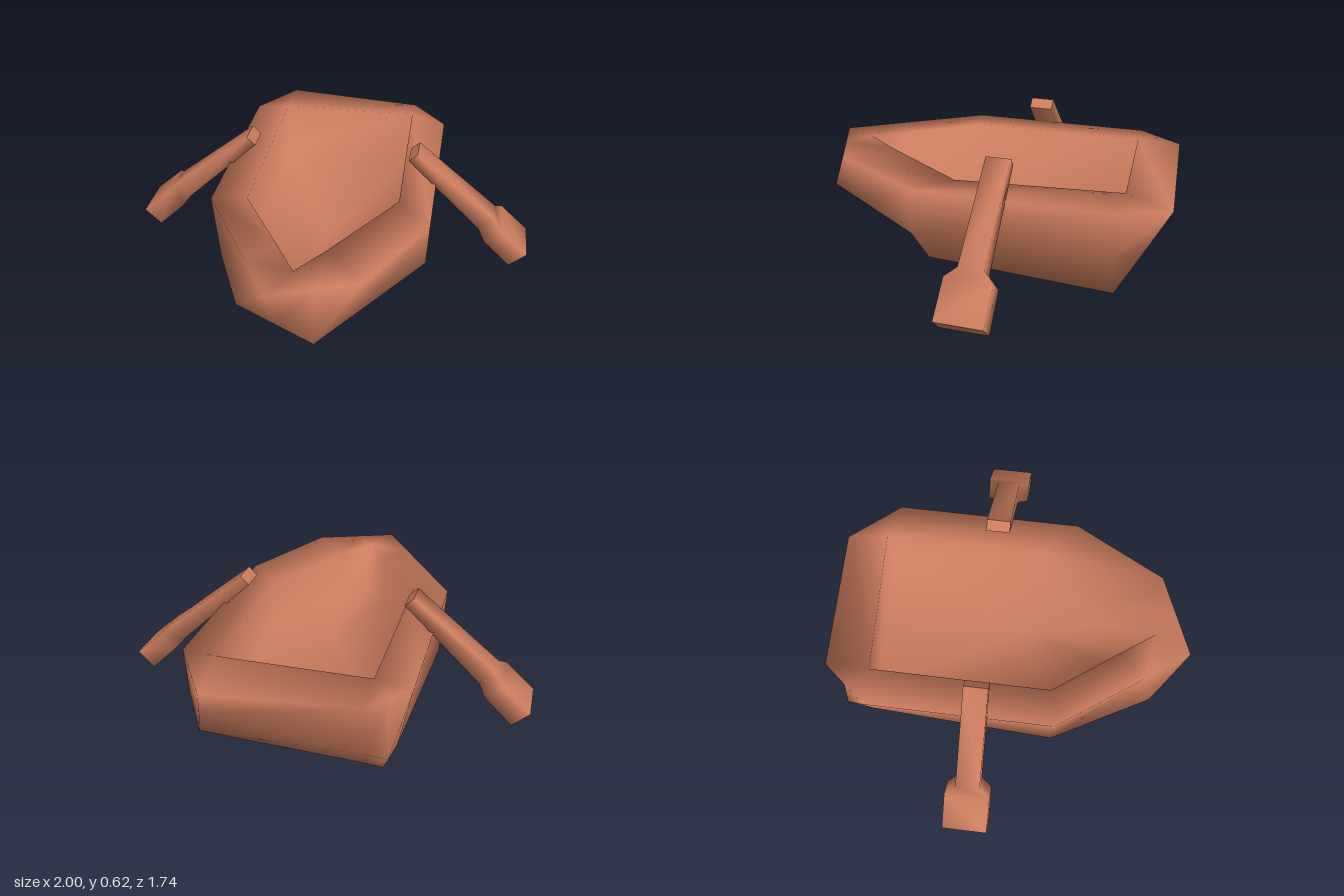
import * as THREE from 'three';
import { mergeVertices } from 'three/addons/utils/BufferGeometryUtils.js';

// Skin a stack of closed rings, with a centre point closing each end
function loft(rings, startCentre, endCentre) {
  const n = rings[0].length;
  const pts = [...rings.flat(), startCentre, endCentre];
  const start = pts.length - 2, end = pts.length - 1, last = (rings.length - 1) * n;
  const index = [];
  for (let r = 0; r < rings.length - 1; r++) {
    for (let i = 0; i < n; i++) {
      const j = (i + 1) % n, a = r * n + i, b = r * n + j, c = b + n, d = a + n;
      index.push(a, b, c, a, c, d);
    }
  }
  for (let i = 0; i < n; i++) {
    const j = (i + 1) % n;
    index.push(start, j, i, end, last + i, last + j);
  }
  const g = new THREE.BufferGeometry();
  g.setAttribute('position', new THREE.Float32BufferAttribute(pts.flat(), 3));
  g.setIndex(index);
  return g;
}

function hullGeometry() {
  // Rings run from the bow along +x to the stern and back along -x;
  // the rough-hewn shape is uneven, and repeated points make sharp corners
  const bottom = [[-0.07, 0, 0.55], [0.12, 0, 0.415], [0.31, 0, 0.28], [0.465, 0.05, -0.65], [0.465, 0.05, -0.65],
    [-0.32, 0.01, -0.62], [-0.4, 0.005, -0.62], [-0.4, 0.005, -0.62], [-0.5, 0.11, 0.26], [-0.07, 0, 0.55], [-0.07, 0, 0.55]];
  const middle = [[0.1, 0.23, 0.87], [0.27, 0.235, 0.63], [0.515, 0.24, 0.28], [0.5, 0.25, -0.635], [0.4, 0.235, -0.76],
    [-0.37, 0.185, -0.77], [-0.45, 0.18, -0.77], [-0.465, 0.172, -0.65], [-0.5, 0.11, 0.26], [-0.28, 0.25, 0.72], [-0.09, 0.24, 0.795]];
  const rim = [[0.09, 0.47, 0.795], [0.28, 0.47, 0.72], [0.52, 0.46, 0.28], [0.52, 0.465, -0.62], [0.34, 0.425, -0.87],
    [-0.35, 0.47, -0.84], [-0.435, 0.465, -0.735], [-0.52, 0.46, -0.63], [-0.52, 0.46, 0.26], [-0.24, 0.467, 0.667], [-0.1, 0.47, 0.87]];
  const inner = [[-0.02, 0.47, 0.7], [0.1, 0.467, 0.53], [0.36, 0.46, 0.12], [0.34, 0.485, -0.66], [0.34, 0.485, -0.66],
    [-0.35, 0.475, -0.63], [-0.35, 0.475, -0.63], [-0.35, 0.475, -0.63], [-0.35, 0.465, 0.23], [-0.13, 0.468, 0.54], [-0.02, 0.47, 0.7]];
  const floor = inner.map(([x, y, z]) => [x, 0.2, z]);
  const g = mergeVertices(loft([bottom, middle, rim, inner, floor], [0, 0, -0.02], [0.02, 0.2, 0.1]));
  g.computeVertexNormals();
  return g;
}

function oarGeometries() {
  // Stations along the oar: centre x, centre y, thickness, width
  const stations = [[0.4, 0.6, 0.057, 0.115], [0.785, 0.257, 0.1, 0.115], [0.82, 0.222, 0.105, 0.216], [0.96, 0.09, 0.113, 0.216]];
  const slant = Math.SQRT1_2, zc = -0.108;
  const rings = stations.map(([x, y, t, w]) =>
    [[1, 1], [-1, 1], [-1, -1], [1, -1]].map(([a, b]) =>
      [x + a * slant * t / 2, y + a * slant * t / 2, zc + b * w / 2]));
  const centre = (s) => [s[0], s[1], zc];
  const whole = loft(rings, centre(stations[0]), centre(stations[3]));
  // Smooth sides, crisp flat ends
  const idx = Array.from(whole.index.array);
  const sideCount = 3 * 4 * 6;
  const sides = whole.clone();
  sides.setIndex(idx.slice(0, sideCount));
  sides.computeVertexNormals();
  const caps = whole.clone();
  caps.setIndex(idx.slice(sideCount));
  const flatCaps = caps.toNonIndexed();
  flatCaps.computeVertexNormals();
  return { oarShaft: sides, oarEnds: flatCaps };
}

// Mirror across x and restore the facing of every triangle
function mirrorX(g) {
  const m = g.index ? g.toNonIndexed() : g.clone();
  m.scale(-1, 1, 1);
  for (const name of ['position', 'normal']) {
    const at = m.attributes[name], v = new THREE.Vector3(), w = new THREE.Vector3();
    for (let i = 0; i < at.count; i += 3) {
      v.fromBufferAttribute(at, i + 1);
      w.fromBufferAttribute(at, i + 2);
      at.setXYZ(i + 1, w.x, w.y, w.z);
      at.setXYZ(i + 2, v.x, v.y, v.z);
    }
  }
  return m;
}

export function createModel() {
  const model = new THREE.Group();
  model.name = 'rowingBoat';
  const wood = new THREE.MeshStandardMaterial({ color: 0xcb7c5d });
  wood.name = 'terracottaWood';

  const add = (parent, name, geometry) => {
    const mesh = new THREE.Mesh(geometry, wood);
    mesh.name = name;
    parent.add(mesh);
  };

  add(model, 'hull', hullGeometry());

  // A pair of oars resting on the gunwales
  const parts = oarGeometries();
  for (const side of ['left', 'right']) {
    const oar = new THREE.Group();
    oar.name = side + 'Oar';
    for (const [name, g] of Object.entries(parts)) add(oar, name, side === 'left' ? g : mirrorX(g));
    model.add(oar);
  }
  return model;
}
